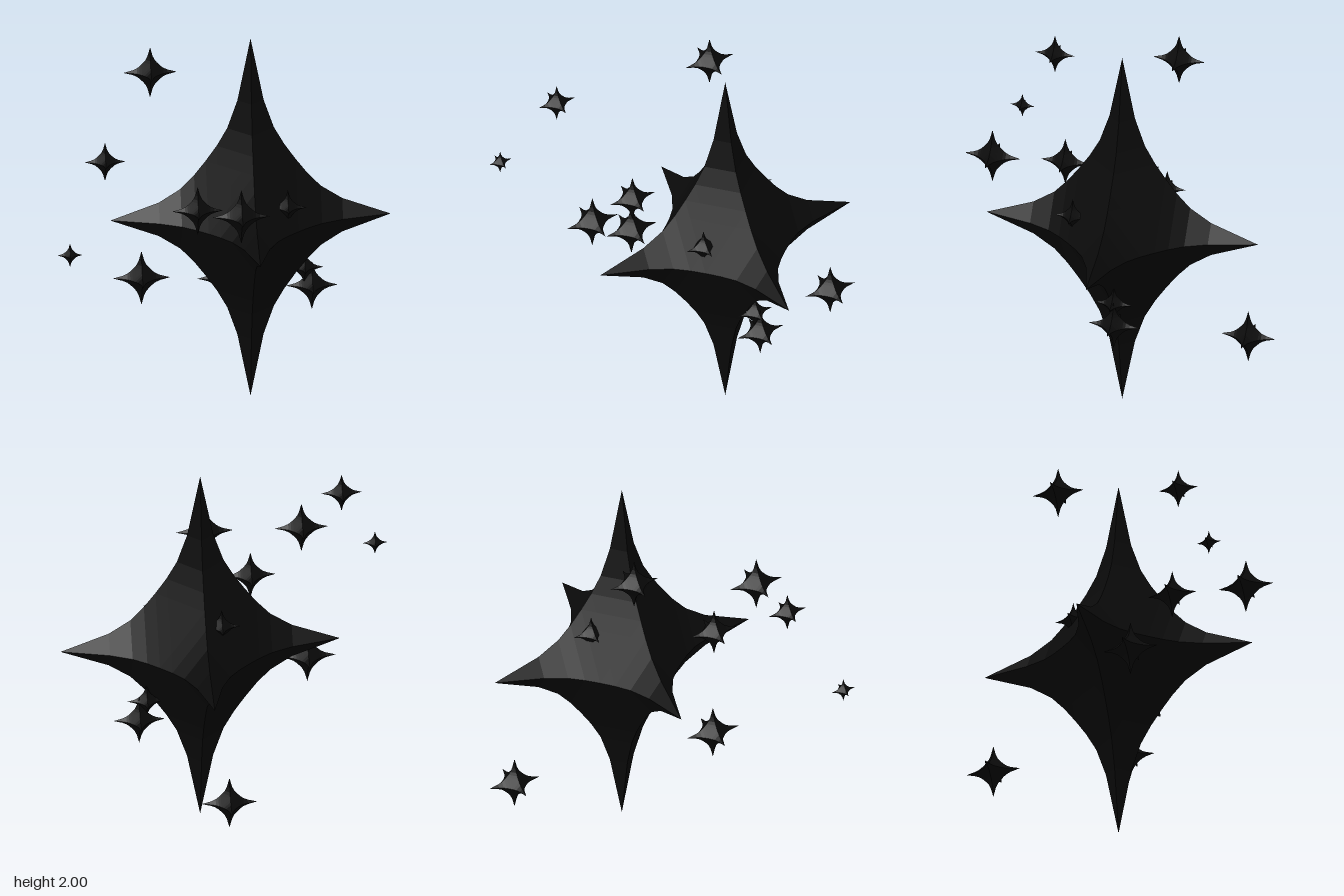
import * as THREE from 'three';

const material = new THREE.MeshStandardMaterial({ color: 0x0a0a0a, flatShading: true });

// Six-pointed star: an octahedron whose faces are drawn in everywhere except at the tips
function starGeometry() {
  const geometry = new THREE.OctahedronGeometry(1, 7);
  const pos = geometry.attributes.position;
  for (let i = 0; i < pos.count; i++) {
    const p = new THREE.Vector3().fromBufferAttribute(pos, i);
    p.divideScalar(p.manhattanLength());
    const tip = [p.x, p.y, p.z].reduce((sum, v) => sum + Math.abs(v) ** 9, 0);
    p.multiplyScalar(0.64 + 0.36 * tip);
    pos.setXYZ(i, p.x, p.y, p.z);
  }
  geometry.computeVertexNormals();
  return geometry;
}

export function createModel() {
  const group = new THREE.Group();
  const geometry = starGeometry();

  const addStar = (name, [x, y, z], rx, ry = rx) => {
    const star = new THREE.Mesh(geometry, material);
    star.name = name;
    star.position.set(x, y, z);
    star.scale.set(rx, ry, rx);
    group.add(star);
  };

  // Large central star, taller than wide
  addStar('mainStar', [0.165, 1, -0.04], 0.735, 1);

  // Small stars scattered around it: x, y, z, radius
  const smallStars = [
    [-0.35, 1.76, -0.21, 0.14],
    [-0.64, 1.55, 0.54, 0.107],
    [-0.84, 1.12, 0.77, 0.066],
    [-0.14, 1.19, 0.35, 0.133],
    [0.065, 1.28, 0.69, 0.15],
    [-0.425, 0.77, 0.21, 0.15],
    [0.08, 0.41, -0.7, 0.146],
    [0.49, 0.595, -0.08, 0.135],
    [0.45, 0.7, -0.07, 0.1],
    // partly sunk into the central star
    [0.345, 1.13, 0.18, 0.1],
    [0.075, 1.22, -0.26, 0.1],
  ];
  smallStars.forEach(([x, y, z, r], i) => addStar(`smallStar${i + 1}`, [x, y, z], r));

  return group;
}
